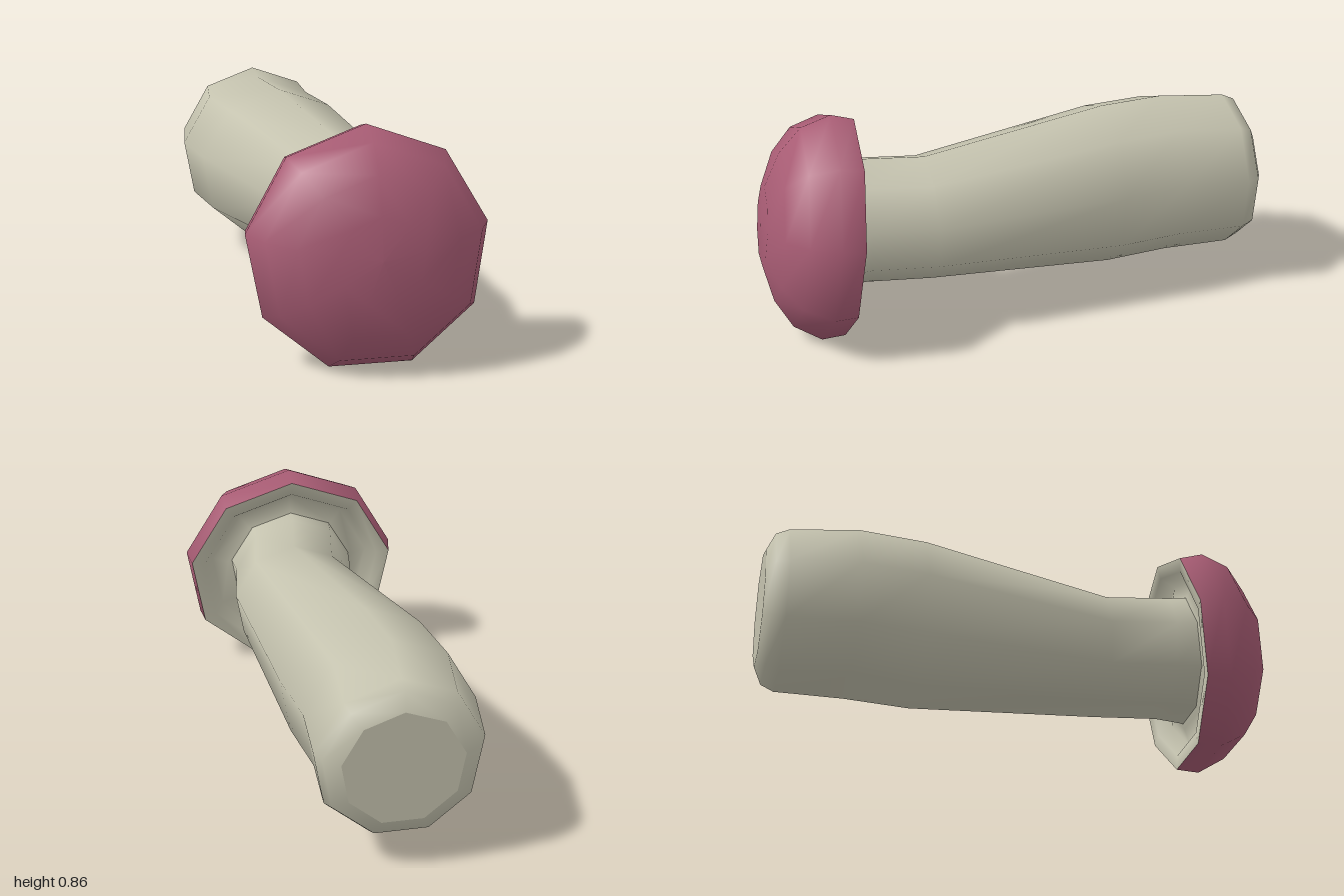
import * as THREE from 'three';
import { mergeVertices } from 'three/addons/utils/BufferGeometryUtils.js';

const SIDES = 9;

// Nine-sided lathe turned about the z axis, with one corner pointing up.
// Profile points are [radius, z].
function turned(profile) {
  const points = profile.map(([r, z]) => new THREE.Vector2(r, z));
  return new THREE.LatheGeometry(points, SIDES, Math.PI).rotateX(Math.PI / 2);
}

export function createModel() {
  const pink = new THREE.MeshStandardMaterial({ color: 0xa85c74 });
  pink.name = 'dusty pink';
  const cream = new THREE.MeshStandardMaterial({ color: 0xc4c2ae });
  cream.name = 'pale cream';

  const model = new THREE.Group();
  model.name = 'mushroom';
  const add = (name, geometry, material, parent) => {
    const mesh = new THREE.Mesh(geometry, material);
    mesh.name = name;
    parent.add(mesh);
    return mesh;
  };

  // Stem: rings of [radius, z, sideways offset], bent by shifting each ring
  const rings = [
    [0.225, -1.0, -0.09], [0.29, -0.97, -0.093], [0.312, -0.92, -0.093],
    [0.325, -0.66, -0.12], [0.325, -0.4, -0.083], [0.245, 0.36, 0.043],
    [0.247, 0.61, 0.0], [0.26, 0.74, -0.005],
  ];
  let stem = turned(rings);
  const position = stem.attributes.position;
  for (let i = 0; i < position.count; i++) {
    position.setX(i, position.getX(i) + rings[i % rings.length][2]);
  }
  stem.deleteAttribute('normal');
  stem.deleteAttribute('uv');
  stem = mergeVertices(stem, 1e-4);
  stem.computeVertexNormals();
  stem.translate(0, 0.428, 0);
  add('stem', stem, cream, model);

  // Flat cut end of the stem
  const end = new THREE.CircleGeometry(rings[0][0], SIDES, Math.PI / 2).rotateY(Math.PI);
  end.translate(rings[0][2], 0.428, -1);
  add('stemEnd', end, cream, model);

  // Cap, tilted slightly upwards and sideways
  const cap = new THREE.Group();
  cap.name = 'cap';
  cap.position.set(0, 0.412, 0.664);
  cap.quaternion.setFromUnitVectors(
    new THREE.Vector3(0, 0, 1),
    new THREE.Vector3(-0.035, 0.108, 0.99).normalize()
  );
  model.add(cap);

  add('capTop', turned([
    [0.43, 0], [0.445, 0.09], [0.393, 0.2], [0.292, 0.275], [0.155, 0.322], [0, 0.328],
  ]), pink, cap);

  // Underside with a raised rim around a shallow hollow
  add('capUnderside', turned([
    [0.2, 0.025], [0.27, 0.04], [0.335, 0.06], [0.375, 0.005], [0.43, 0],
  ]), cream, cap);

  return model;
}
